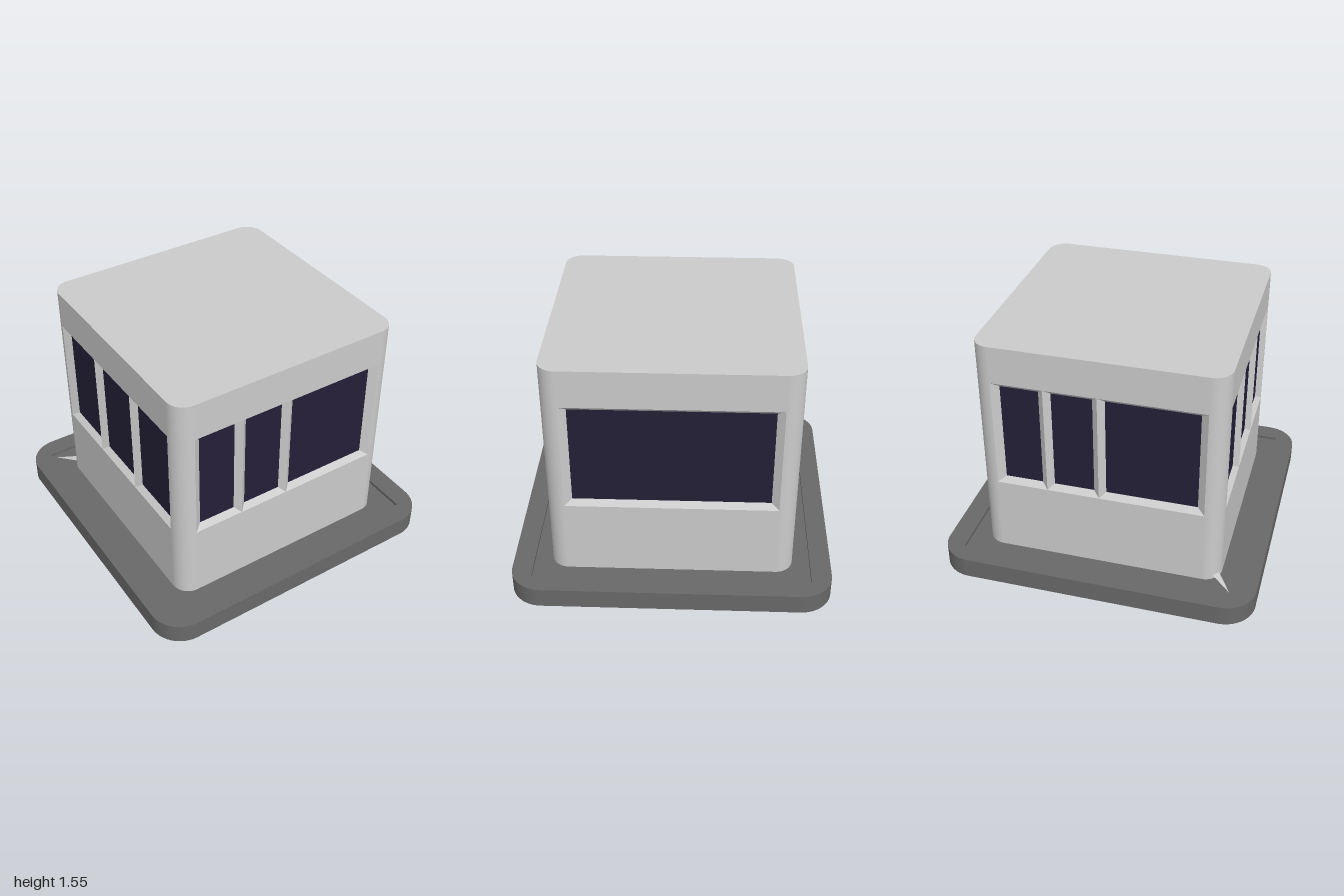
import * as THREE from 'three';

const HALF = 0.76, RADIUS = 0.11, FLAT = HALF - RADIUS;    // booth plan
const FLOOR = 0.11, RIM = 0.13, TOP = 1.55;                // heights
const SILL = 0.6, HEAD = 1.31, REVEAL = 0.035;             // window opening

const wallMat = new THREE.MeshStandardMaterial({ color: 0xcccccc, side: THREE.DoubleSide });
const baseMat = new THREE.MeshStandardMaterial({ color: 0x696969 });
const glassMat = new THREE.MeshStandardMaterial({ color: 0x241f38 });

function add(parent, name, geometry, material) {
  const mesh = new THREE.Mesh(geometry, material);
  mesh.name = name;
  parent.add(mesh);
  return mesh;
}

function roundedSquare(half, r) {
  const s = new THREE.Shape(), c = half - r;
  s.absarc(c, c, r, 0, Math.PI / 2);
  s.absarc(-c, c, r, Math.PI / 2, Math.PI);
  s.absarc(-c, -c, r, Math.PI, Math.PI * 1.5);
  s.absarc(c, -c, r, Math.PI * 1.5, Math.PI * 2);
  s.closePath();
  return s;
}

function rectangle(PathType, x0, y0, x1, y1) {
  return new PathType([[x0, y0], [x1, y0], [x1, y1], [x0, y1]].map(p => new THREE.Vector2(...p)));
}

// Extrude a plan shape upward from height y
function slab(shape, y, height) {
  return new THREE.ExtrudeGeometry(shape, { depth: height, bevelEnabled: false, curveSegments: 12 })
    .rotateX(-Math.PI / 2).translate(0, y, 0);
}

// Sloped reveal from the opening at the wall plane back to the glass
function revealGeometry(outer, inner) {
  const corners = ([x0, y0, x1, y1], z) => [[x0, y0, z], [x1, y0, z], [x1, y1, z], [x0, y1, z]];
  const o = corners(outer, HALF), n = corners(inner, HALF - REVEAL), pos = [];
  for (let i = 0; i < 4; i++) {
    const j = (i + 1) % 4;
    pos.push(...o[i], ...o[j], ...n[j], ...o[i], ...n[j], ...n[i]);
  }
  const g = new THREE.BufferGeometry();
  g.setAttribute('position', new THREE.Float32BufferAttribute(pos, 3));
  g.computeVertexNormals();
  return g;
}

// One wall facing +z, its window split at the given mullion positions
function createWall(name, mullions) {
  const wall = new THREE.Group();
  wall.name = name;
  const panel = rectangle(THREE.Shape, -FLAT, FLOOR, FLAT, TOP);
  panel.holes.push(rectangle(THREE.Path, -FLAT + 0.001, SILL, FLAT - 0.001, HEAD));
  add(wall, 'wallPanel', new THREE.ShapeGeometry(panel).translate(0, 0, HALF), wallMat);

  const stops = [-FLAT, ...mullions, FLAT];
  for (let i = 0; i < stops.length - 1; i++) {
    const inset = x => (Math.abs(x) === FLAT ? 0.047 : 0.038);
    const x0 = stops[i], x1 = stops[i + 1];
    const inner = [x0 + inset(x0), SILL + 0.033, x1 - inset(x1), HEAD - 0.032];
    add(wall, 'windowReveal', revealGeometry([x0, SILL, x1, HEAD], inner), wallMat);
    const pane = new THREE.ShapeGeometry(rectangle(THREE.Shape, ...inner));
    add(wall, 'windowPane', pane.translate(0, 0, HALF - REVEAL), glassMat);
  }
  return wall;
}

export function createModel() {
  const model = new THREE.Group();
  model.name = 'booth';

  // Plinth with a raised rim around a shallow square recess
  add(model, 'plinth', slab(roundedSquare(1, 0.2), 0, FLOOR), baseMat);
  const rim = roundedSquare(1, 0.2);
  rim.holes.push(rectangle(THREE.Path, -0.87, -0.87, 0.87, 0.87));
  add(model, 'plinthRim', slab(rim, FLOOR, RIM - FLOOR), baseMat);

  // Four walls and the rounded corners between them
  const walls = [
    ['frontWall', [-0.327, 0]],
    ['leftWall', []],
    ['backWall', [-0.327, 0]],
    ['rightWall', [-0.217, 0.217]],
  ];
  walls.forEach(([name, mullions], i) => {
    const wall = createWall(name, mullions);
    wall.rotation.y = i * Math.PI / 2;
    model.add(wall);
    const corner = new THREE.CylinderGeometry(RADIUS, RADIUS, TOP - FLOOR, 10, 1, true, 0, Math.PI / 2)
      .translate(FLAT, (TOP + FLOOR) / 2, FLAT).rotateY(i * Math.PI / 2);
    add(model, 'wallCorner', corner, wallMat);
  });

  // Flat roof
  add(model, 'roof', new THREE.ShapeGeometry(roundedSquare(HALF, RADIUS), 10)
    .rotateX(-Math.PI / 2).translate(0, TOP, 0), wallMat);

  // Small pointed spur at the foot of the back right corner
  const spur = new THREE.BufferGeometry();
  spur.setAttribute('position', new THREE.Float32BufferAttribute(
    [-0.84, FLOOR + 0.003, -0.84, -0.75, 0.14, -0.705, -0.715, 0.14, -0.74], 3));
  spur.computeVertexNormals();
  add(model, 'cornerSpur', spur, wallMat);

  return model;
}
